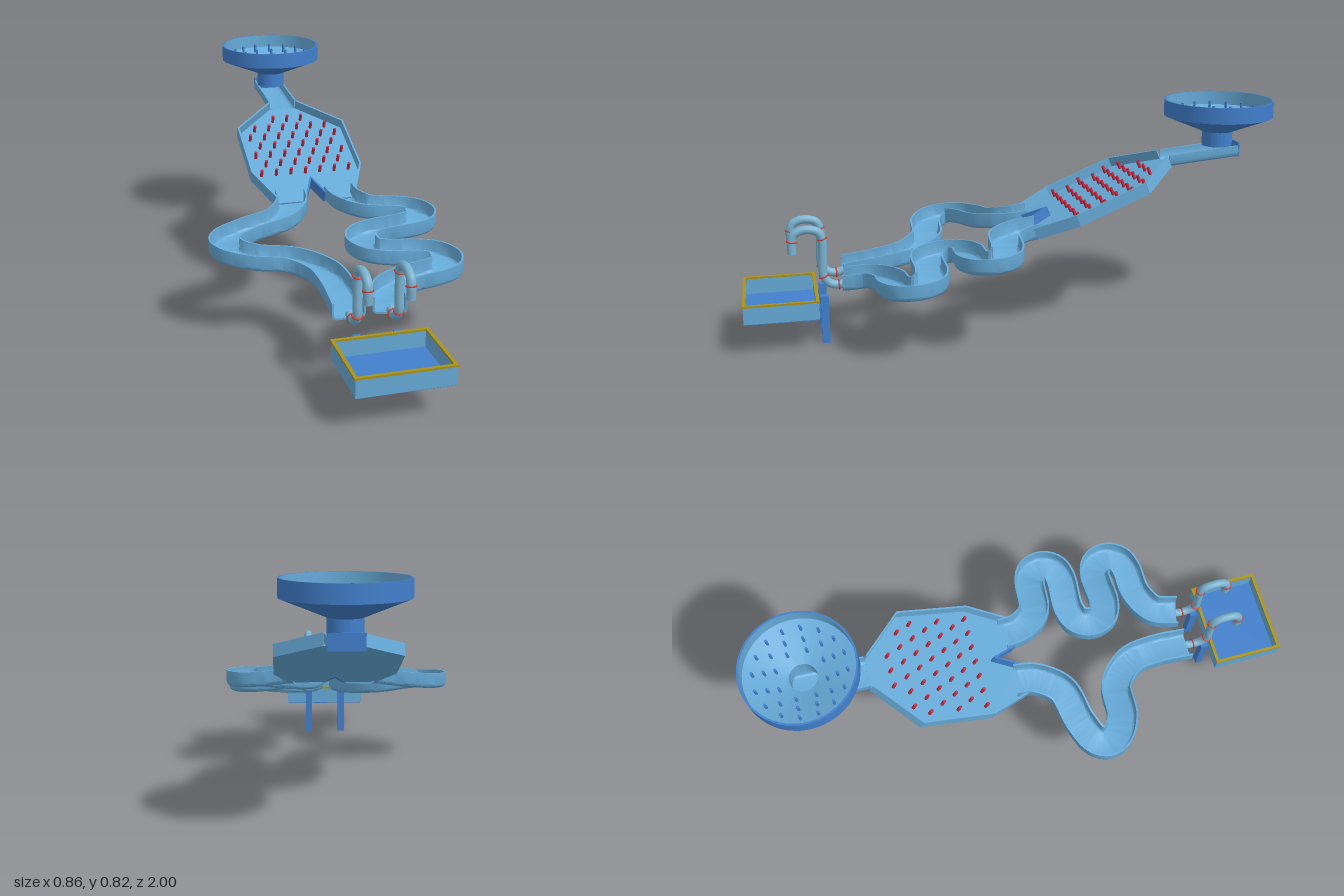
import * as THREE from 'three';
import { toCreasedNormals } from 'three/addons/utils/BufferGeometryUtils.js';

const mat = (name, color, side = THREE.FrontSide) => {
  const m = new THREE.MeshStandardMaterial({ color, side });
  m.name = name;
  return m;
};
const V = (x, y, z) => new THREE.Vector3(x, y, z);

// U-shaped channel swept along a path; walls stay upright
function channel(points, half, height, wall) {
  const outer = [], inner = [], r = 0.018;
  const corner = (out, s, a) => out.push([s * a[0], a[1]]);
  const sideOf = (w, base, rad) => {
    const pts = [[w, height]];
    for (let i = 0; i <= 5; i++) {
      const a = (i / 5) * Math.PI / 2;
      pts.push([w - rad + rad * Math.cos(a), base + rad - rad * Math.sin(a)]);
    }
    return pts;
  };
  for (const [list, pts] of [[outer, sideOf(half, 0, r)], [inner, sideOf(half - wall, wall, r - wall)]]) {
    pts.forEach(p => corner(list, -1, p));
    [...pts].reverse().forEach(p => corner(list, 1, p));
  }
  const ring = [...outer, ...[...inner].reverse()], n = ring.length, m = outer.length;
  const pos = [], idx = [];
  points.forEach((p, i) => {
    const t = points[Math.min(i + 1, points.length - 1)].clone().sub(points[Math.max(i - 1, 0)]);
    t.y = 0;
    t.normalize();
    ring.forEach(([s, u]) => pos.push(p.x + t.z * s, p.y + u, p.z - t.x * s));
  });
  for (let i = 0; i < points.length - 1; i++) {
    for (let j = 0; j < n; j++) {
      const k = (j + 1) % n, a = i * n, b = a + n;
      idx.push(a + j, a + k, b + k, a + j, b + k, b + j);
    }
  }
  const end = (points.length - 1) * n;
  for (let j = 0; j < m - 1; j++) {
    const q = [j, j + 1, n - 2 - j, n - 1 - j];
    idx.push(q[0], q[2], q[1], q[0], q[3], q[2]);
    idx.push(end + q[0], end + q[1], end + q[2], end + q[0], end + q[2], end + q[3]);
  }
  const g = new THREE.BufferGeometry();
  g.setAttribute('position', new THREE.Float32BufferAttribute(pos, 3));
  g.setIndex(idx);
  return toCreasedNormals(g, 0.7);
}

export function createModel() {
  const root = new THREE.Group();
  root.name = 'marbleRun';
  const light = mat('lightBlue', 0x66aad8, THREE.DoubleSide);
  const blue = mat('blue', 0x417fcc, THREE.DoubleSide);
  const red = mat('red', 0xc42a40);
  const ringRed = mat('ringRed', 0xd63a30);
  const gold = mat('gold', 0xa8921c);
  const pipeBlue = mat('pipeBlue', 0x7ab2d0, THREE.DoubleSide);
  const add = (name, geo, material, x = 0, y = 0, z = 0, parent = root) => {
    const mesh = new THREE.Mesh(geo, material);
    mesh.name = name;
    mesh.position.set(x, y, z);
    parent.add(mesh);
    return mesh;
  };
  const box = (name, m, w, h, d, x, y, z, parent) => add(name, new THREE.BoxGeometry(w, h, d), m, x, y, z, parent);
  const lathe = pts => toCreasedNormals(new THREE.LatheGeometry(pts.map(p => new THREE.Vector2(...p)), 64), 0.6);
  const cx = 0.02;

  // Funnel bowl with pegs
  const bowl = new THREE.Group();
  bowl.name = 'bowl';
  bowl.position.set(cx, 0, -0.795);
  root.add(bowl);
  add('bowlShell', lathe([[0.057, 0.645], [0.057, 0.70], [0.204, 0.76], [0.204, 0.82], [0.197, 0.82]]), blue, 0, 0, 0, bowl);
  add('bowlLining', lathe([[0.197, 0.82], [0.197, 0.768], [0.05, 0.712], [0.05, 0.645], [0.057, 0.645]]), light, 0, 0, 0, bowl);
  const bowlPeg = new THREE.CylinderGeometry(0.005, 0.005, 0.036, 10);
  for (const [r, count] of [[0.162, 16], [0.125, 12], [0.09, 8]]) {
    for (let i = 0; i < count; i++) {
      const a = (i + 0.5) / count * Math.PI * 2;
      add('bowlPeg', bowlPeg, blue, r * Math.cos(a), 0.71 + (r - 0.05) * 0.38 + 0.016, r * Math.sin(a), bowl);
    }
  }

  // Feed chute below the bowl
  add('feedChute', channel([V(cx, 0.606, -0.86), V(cx, 0.58, -0.585)], 0.058, 0.044, 0.007), light);
  box('chuteEndPlate', blue, 0.116, 0.055, 0.006, cx, 0.634, -0.86);

  // Sloped peg board, laid out flat and tilted
  const tilt = Math.atan(0.41), flat = z => (z + 0.06) / Math.cos(tilt);
  const board = new THREE.Group();
  board.name = 'pegBoard';
  board.position.set(cx, 0.363, -0.06);
  board.rotation.x = tilt;
  root.add(board);
  const half = [[0.058, -0.59], [0.217, -0.45], [0.217, -0.195], [0.155, -0.055], [0.036, -0.055]].map(([x, z]) => [x, flat(z)]);
  const apex = [0, flat(-0.14)];
  const outline = [...half, apex, ...half.map(([x, z]) => [-x, z]).reverse()];
  const floor = new THREE.ExtrudeGeometry(new THREE.Shape(outline.map(([x, z]) => new THREE.Vector2(x, -z))), { depth: 0.008, bevelEnabled: false });
  floor.rotateX(-Math.PI / 2);
  add('boardFloor', floor, light, 0, 0, 0, board);
  const wallBetween = (name, m, a, b, h) => {
    const dx = b[0] - a[0], dz = b[1] - a[1];
    box(name, m, Math.hypot(dx, dz) + 0.004, h, 0.007, (a[0] + b[0]) / 2, h / 2, (a[1] + b[1]) / 2, board)
      .rotation.y = Math.atan2(-dz, dx);
  };
  for (const s of [1, -1]) {
    const p = half.map(([x, z]) => [s * x, z]);
    for (let i = 0; i < 3; i++) wallBetween('boardWall', light, p[i], p[i + 1], 0.045);
    wallBetween('divider', blue, apex, p[4], 0.046);
  }
  const peg = new THREE.CylinderGeometry(0.0062, 0.0062, 0.03, 12);
  [3, 6, 7, 6, 7, 6, 7].forEach((count, row) => {
    for (let i = 0; i < count; i++) {
      add('boardPeg', peg, red, (i - (count - 1) / 2) * 0.0585, 0.022, flat(-0.513 + row * 0.051), board);
    }
  });

  // Winding tracks falling evenly along their length
  const track = (name, plan) => {
    const pts = new THREE.CatmullRomCurve3(plan.map(([x, z]) => V(x, 0, z))).getSpacedPoints(120);
    pts.forEach((p, i) => { p.y = 0.358 - 0.155 * i / 120; });
    add(name, channel(pts, 0.058, 0.06, 0.007), light);
  };
  track('rightTrack', [[-0.075, -0.07], [-0.085, 0], [-0.15, 0.09], [-0.28, 0.125], [-0.36, 0.163], [-0.38, 0.205],
    [-0.36, 0.25], [-0.29, 0.29], [-0.16, 0.307], [-0.075, 0.39], [-0.053, 0.5], [-0.053, 0.637]]);
  const bend = (x, z, r, s) => [-90, -45, 0, 45, 90].map(d => {
    const a = d * Math.PI / 180;
    return [x + s * r * Math.cos(a), z + r * Math.sin(a)];
  });
  track('leftTrack', [[0.115, -0.07], [0.125, 0], [0.18, 0.07], ...bend(0.305, 0.15, 0.062, 1), ...bend(0.172, 0.282, 0.072, -1),
    ...bend(0.302, 0.42, 0.066, 1), [0.2, 0.495], [0.115, 0.545], [0.088, 0.637]]);

  // Hooked pipes with red rings
  const ringGeo = new THREE.TorusGeometry(0.0165, 0.0028, 8, 24);
  for (const x of [-0.05, 0.091]) {
    const path = [[0.222, 0.635], [0.216, 0.66], [0.222, 0.69], [0.25, 0.713], [0.32, 0.714], [0.39, 0.714],
      [0.413, 0.725], [0.424, 0.75], [0.424, 0.785], [0.41, 0.811], [0.385, 0.82], [0.34, 0.82]];
    const curve = new THREE.CatmullRomCurve3(path.map(([y, z]) => V(x, y, z)));
    add('pipe', new THREE.TubeGeometry(curve, 80, 0.0155, 16), pipeBlue);
    for (const i of [1, 3, 5, 10]) {
      const t = i / (path.length - 1), p = curve.getPoint(t);
      const ring = add('pipeRing', ringGeo, ringRed, p.x, p.y, p.z);
      ring.lookAt(p.clone().add(curve.getTangent(t)));
    }
    // Support post
    box('post', blue, 0.027, 0.178, 0.028, x, 0.089, 0.714);
  }

  // Collecting tray with gold rim
  const tz = 0.868;
  box('trayFloor', blue, 0.318, 0.008, 0.252, cx, 0.122, tz);
  for (const s of [1, -1]) {
    box('traySide', light, 0.008, 0.062, 0.262, cx + s * 0.159, 0.153, tz);
    box('trayEnd', light, 0.326, 0.062, 0.008, cx, 0.153, tz + s * 0.127);
    box('rimSide', gold, 0.012, 0.007, 0.264, cx + s * 0.16, 0.187, tz);
    box('rimEnd', gold, 0.332, 0.007, 0.012, cx, 0.187, tz + s * 0.126);
  }
  return root;
}
